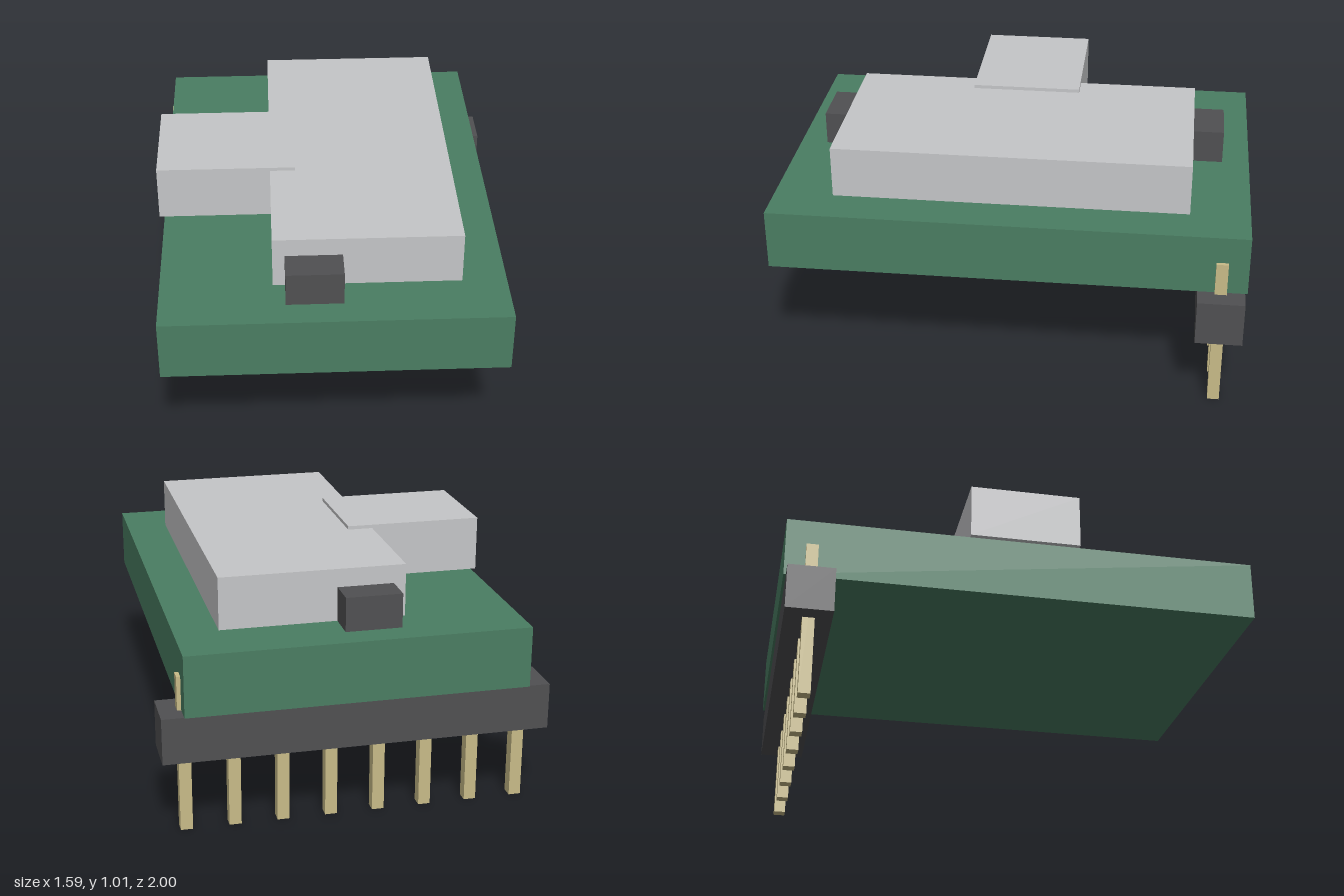
import * as THREE from 'three';

function material(name, color) {
  const m = new THREE.MeshStandardMaterial({ color });
  m.name = name;
  return m;
}

export function createModel() {
  const green = material('board green', 0x4a7d62);
  const silver = material('silver', 0xc5c6c8);
  const dark = material('dark plastic', 0x505052);
  const gold = material('pin gold', 0xc8bb88);

  const model = new THREE.Group();
  model.name = 'circuitModule';

  // Box given by its extents along each axis
  function box(name, mat, [x0, x1], [y0, y1], [z0, z1]) {
    const mesh = new THREE.Mesh(new THREE.BoxGeometry(x1 - x0, y1 - y0, z1 - z0), mat);
    mesh.position.set((x0 + x1) / 2, (y0 + y1) / 2, (z0 + z1) / 2);
    mesh.name = name;
    model.add(mesh);
  }

  // Circuit board
  const top = 0.78;
  box('board', green, [-0.705, 0.705], [0.524, top], [-1, 1]);

  // Parts on top: large metal housing, side connector, bar showing at both ends
  box('housing', silver, [-0.247, 0.523], [top, 1.0], [-0.75, 0.75]);
  box('connector', silver, [-0.727, -0.14], [top, 1.015], [-0.236, 0.236]);
  box('endBar', dark, [-0.197, 0.037], [top, 0.923], [-0.883, 0.883]);

  // Header strip under the back edge
  box('headerStrip', dark, [-0.795, 0.795], [0.33, 0.523], [-0.99, -0.795]);

  // Row of eight pins through the strip
  const half = 0.025;
  for (let i = 0; i < 8; i++) {
    const x = (i - 3.5) * 0.199;
    box('pin' + (i + 1), gold, [x - half, x + half], [0, 0.665], [-0.89 - half, -0.89 + half]);
  }

  return model;
}
